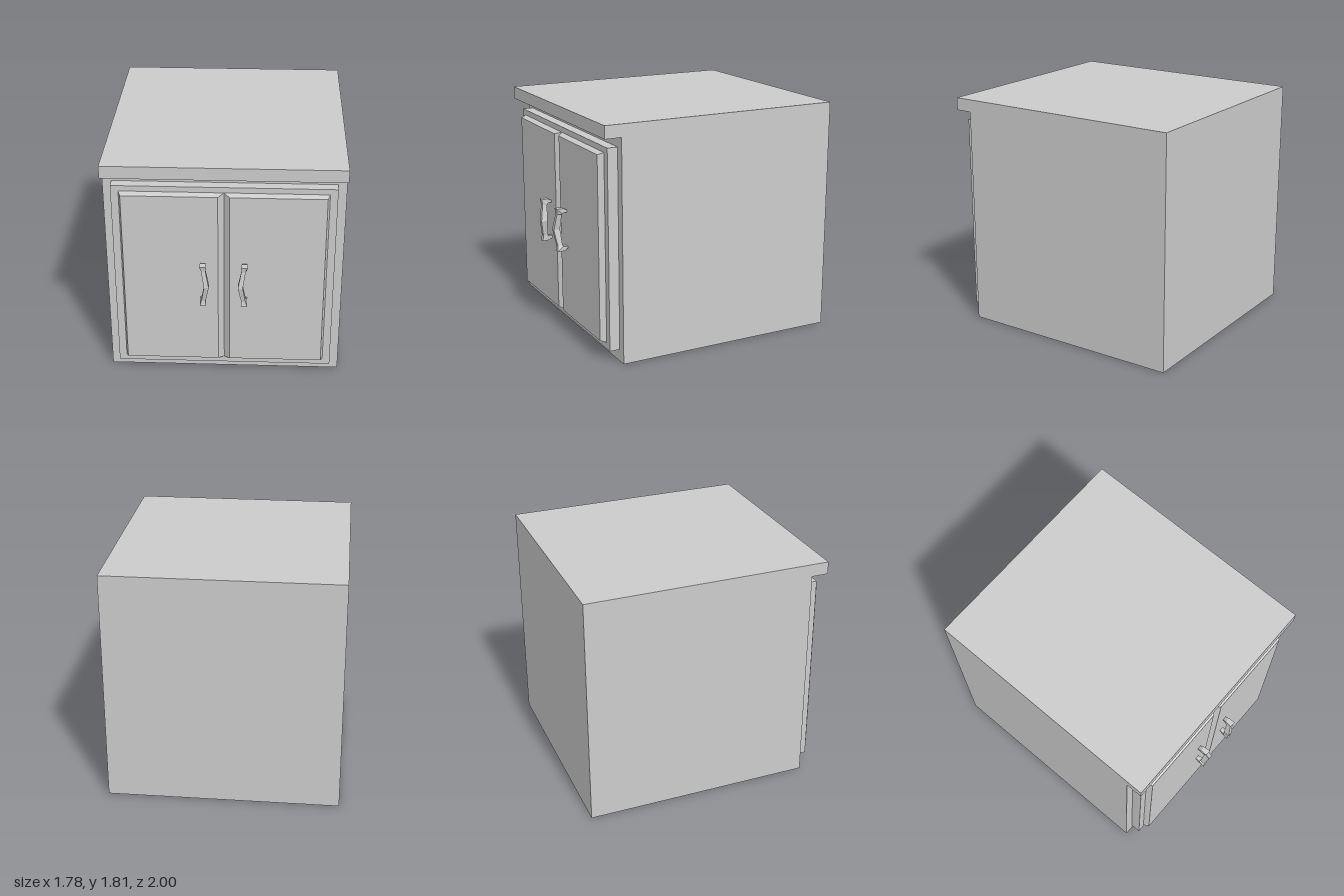
import * as THREE from 'three';

const material = new THREE.MeshStandardMaterial({ color: 0xcccccc, flatShading: true });

function addMesh(parent, name, geometry, x = 0, y = 0, z = 0) {
  const mesh = new THREE.Mesh(geometry, material);
  mesh.name = name;
  mesh.position.set(x, y, z);
  parent.add(mesh);
  return mesh;
}

// Skin a row of four-cornered cross-sections and cap both ends.
function loft(sections) {
  const index = [0, 2, 1, 0, 3, 2];
  for (let i = 0; i < sections.length - 1; i++) {
    for (let j = 0; j < 4; j++) {
      const a = i * 4 + j, b = i * 4 + (j + 1) % 4;
      index.push(a, b, b + 4, a, b + 4, a + 4);
    }
  }
  const e = (sections.length - 1) * 4;
  index.push(e, e + 1, e + 2, e, e + 2, e + 3);
  const indexed = new THREE.BufferGeometry();
  indexed.setAttribute('position', new THREE.Float32BufferAttribute(sections.flat(2), 3));
  indexed.setIndex(index);
  const geometry = indexed.toNonIndexed();
  geometry.computeVertexNormals();
  return geometry;
}

// Cabinet side profile with the overhanging top, extruded across the width.
function bodyGeometry() {
  const width = 1.78;
  const profile = new THREE.Shape([
    [-1, 0], [0.775, 0], [0.775, 1.713], [0.905, 1.713], [0.905, 1.81], [-1, 1.81],
  ].map(([z, y]) => new THREE.Vector2(z, y)));
  return new THREE.ExtrudeGeometry(profile, { depth: width, bevelEnabled: false })
    .translate(0, 0, -width / 2)
    .rotateY(-Math.PI / 2);
}

// Raised door panel: narrow outer bevels and a wide bevel at the centre.
function panelGeometry() {
  const rect = (x0, x1, h, z) => [[x0, -h, z], [x1, -h, z], [x1, h, z], [x0, h, z]];
  return loft([rect(0, 0.765, 0.723, 0.855), rect(0.043, 0.748, 0.708, 0.9)]);
}

// Bowed handle, from the lower foot to the upper one.
function handleGeometry() {
  // outer y, outer z, inner y, inner z, centre x, half width
  const half = [
    [0.15, 0.895, 0.137, 0.895, 0.157, 0.016],
    [0.17, 0.93, 0.135, 0.93, 0.155, 0.02],
    [0.17, 0.985, 0.13, 0.939, 0.154, 0.023],
    [0.13, 0.978, 0.118, 0.941, 0.149, 0.016],
    [0, 1.0, 0, 0.95, 0.126, 0.018],
  ];
  const section = ([oy, oz, iy, iz, x, w], s) => [
    [x - w, s * oy, oz], [x + w, s * oy, oz], [x + w, s * iy, iz], [x - w, s * iy, iz],
  ];
  return loft([
    ...half.map((p) => section(p, -1)),
    ...half.slice(0, -1).reverse().map((p) => section(p, 1)),
  ]);
}

export function createModel() {
  const model = new THREE.Group();
  model.name = 'cabinet';
  addMesh(model, 'body', bodyGeometry());
  addMesh(model, 'doorFrame', new THREE.BoxGeometry(1.644, 1.54, 0.085), 0, 0.862, 0.8125);

  // Each door is symmetric top to bottom, so a half turn mirrors it.
  const panel = panelGeometry(), handle = handleGeometry();
  for (const side of ['left', 'right']) {
    const door = new THREE.Group();
    door.name = side + 'Door';
    door.position.y = 0.866;
    door.rotation.z = side === 'left' ? 0 : Math.PI;
    addMesh(door, side + 'Panel', panel);
    addMesh(door, side + 'Handle', handle);
    model.add(door);
  }
  return model;
}
